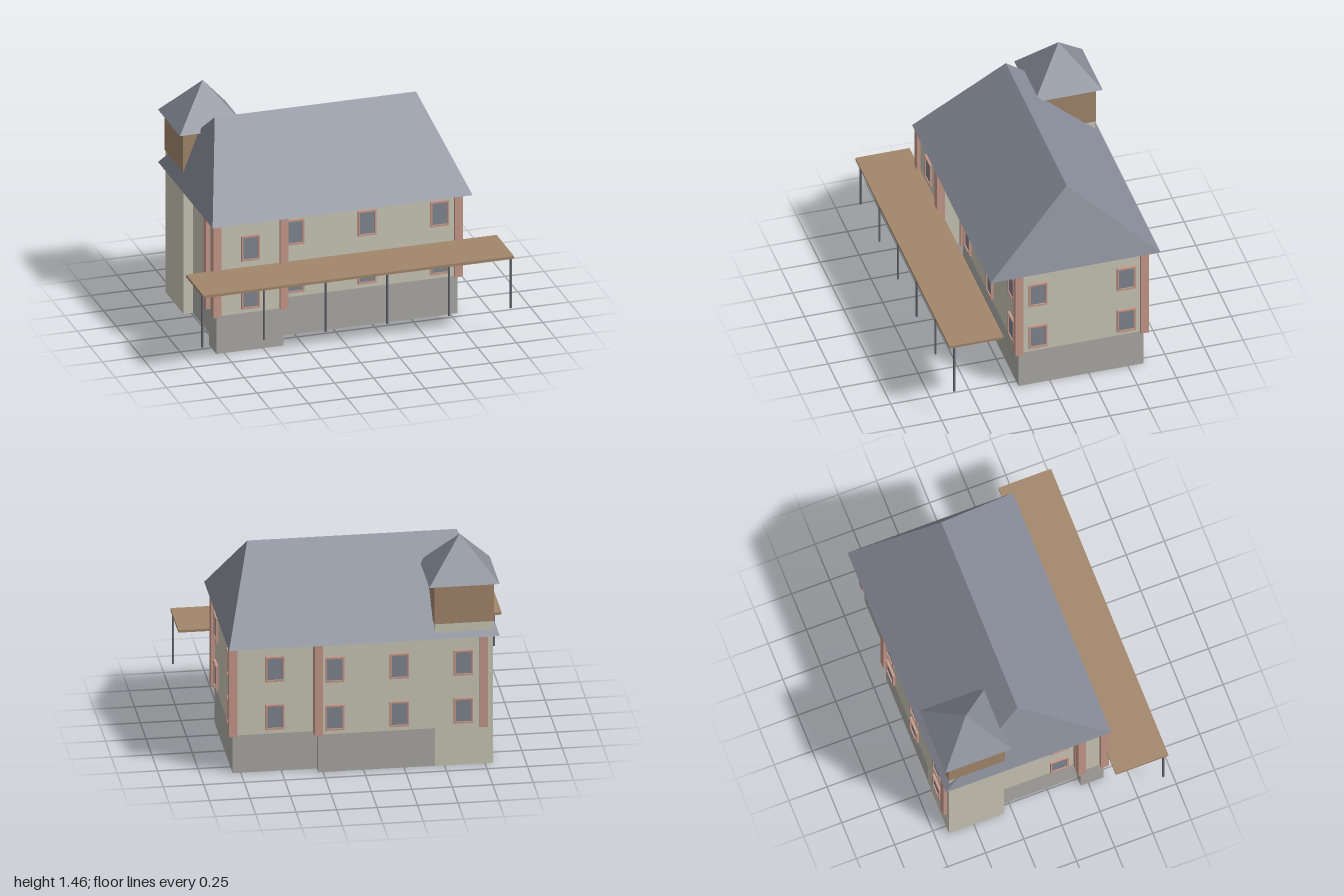
import * as THREE from 'three';

const mat = (name, color) => {
  const m = new THREE.MeshStandardMaterial({ color });
  m.name = name;
  return m;
};

export function createModel() {
  const model = new THREE.Group();
  model.name = 'house';
  const plaster = mat('cream plaster', 0xc9c6b5);
  const stone = mat('grey stone', 0xaaa9a4);
  const slate = mat('blue grey slate', 0x878c98);
  const brick = mat('pale red brick', 0xc5988a);
  const wood = mat('brown wood', 0xa2866b);
  const glass = mat('window glass', 0x7f8590);
  const steel = mat('dark steel', 0x666a73);

  const add = (name, geometry, material, parent = model) => {
    const mesh = new THREE.Mesh(geometry, material);
    mesh.name = name;
    parent.add(mesh);
    return mesh;
  };
  // Box given by its minimum and maximum on each axis
  const box = (name, material, [x0, x1], [y0, y1], [z0, z1], parent) => {
    const g = new THREE.BoxGeometry(x1 - x0, y1 - y0, z1 - z0);
    g.translate((x0 + x1) / 2, (y0 + y1) / 2, (z0 + z1) / 2);
    return add(name, g, material, parent);
  };

  // Stepped floor plan (x, z), shared by the plinth and the walls
  const plan = [
    [-0.8, 0.35], [-0.37, 0.35], [-0.37, 0.2], [0.8, 0.2], [0.8, -0.6],
    [0.28, -0.6], [0.28, -0.66], [-0.74, -0.66], [-0.74, 0.2], [-0.8, 0.2],
  ];
  const storey = (name, material, y0, y1) => {
    const shape = new THREE.Shape(plan.map(([x, z]) => new THREE.Vector2(x, -z)));
    const g = new THREE.ExtrudeGeometry(shape, { depth: y1 - y0, bevelEnabled: false });
    g.rotateX(-Math.PI / 2).translate(0, y0, 0);
    add(name, g, material);
  };
  storey('plinth', stone, 0, 0.25);
  storey('walls', plaster, 0.25, 0.856);

  // Brick pilaster on every corner of the plan
  for (const [x, z] of plan) {
    box('pilaster', brick, [x - 0.025, x + 0.025], [0.25, 0.856], [z - 0.025, z + 0.025]);
  }

  // Hipped roof: rectangular eaves rising to a ridge (or a point when ridge is 0)
  const hipRoof = (name, cx, cz, hx, hz, ridge, y0, y1) => {
    const a = [cx - hx, y0, cz + hz], b = [cx + hx, y0, cz + hz];
    const c = [cx + hx, y0, cz - hz], d = [cx - hx, y0, cz - hz];
    const l = [cx - ridge, y1, cz], r = [cx + ridge, y1, cz];
    const faces = [[a, b, r], [b, c, r], [c, d, l], [d, a, l], [a, d, c], [a, c, b]];
    if (ridge > 0) faces.push([a, r, l], [c, l, r]);
    const g = new THREE.BufferGeometry();
    g.setAttribute('position', new THREE.Float32BufferAttribute(faces.flat(2), 3));
    g.computeVertexNormals();
    add(name, g, slate);
  };
  hipRoof('mainRoof', 0, -0.155, 0.836, 0.542, 0.647, 0.856, 1.35);

  // Corner tower with a timber top storey
  box('towerShaft', plaster, [-0.8, -0.44], [0, 0.945], [-0.663, -0.303]);
  box('towerTimberStorey', wood, [-0.804, -0.436], [0.945, 1.203], [-0.667, -0.299]);
  hipRoof('towerRoof', -0.618, -0.483, 0.217, 0.217, 0, 1.203, 1.46);

  // Framed windows in two rows; turn rotates them to face outward
  const frameShape = new THREE.Shape([[-1, -1], [1, -1], [1, 1], [-1, 1]]
    .map(([u, v]) => new THREE.Vector2(u * 0.059, v * 0.083)));
  frameShape.holes.push(new THREE.Path([[-1, -1], [-1, 1], [1, 1], [1, -1]]
    .map(([u, v]) => new THREE.Vector2(u * 0.048, v * 0.072))));
  const frameGeo = new THREE.ExtrudeGeometry(frameShape, { depth: 0.016, bevelEnabled: false });
  const paneGeo = new THREE.BoxGeometry(0.096, 0.144, 0.008);
  const windows = (x, z, turn) => {
    for (const y of [0.363, 0.682]) {
      const w = new THREE.Group();
      w.name = 'window';
      add('windowFrame', frameGeo, brick, w);
      add('windowPane', paneGeo, glass, w).position.z = 0.004;
      w.position.set(x, y, z);
      w.rotation.y = turn;
      model.add(w);
    }
  };
  windows(-0.583, 0.35, 0);
  for (const x of [-0.25, 0.215, 0.68]) windows(x, 0.2, 0);
  for (const z of [0.078, -0.487]) windows(0.8, z, Math.PI / 2);
  windows(0.54, -0.6, Math.PI);
  for (const x of [0.18, -0.22]) windows(x, -0.66, Math.PI);
  windows(-0.615, -0.663, Math.PI);
  windows(-0.74, 0.08, -Math.PI / 2);

  // Raised front deck on thin posts
  box('deck', wood, [-0.996, 1], [0.54, 0.557], [0.355, 0.7]);
  for (let i = 0; i < 6; i++) {
    const post = add('deckPost', new THREE.CylinderGeometry(0.007, 0.007, 0.342, 10), steel);
    post.position.set(-0.993 + i * 0.3965, 0.371, 0.667);
  }
  return model;
}
